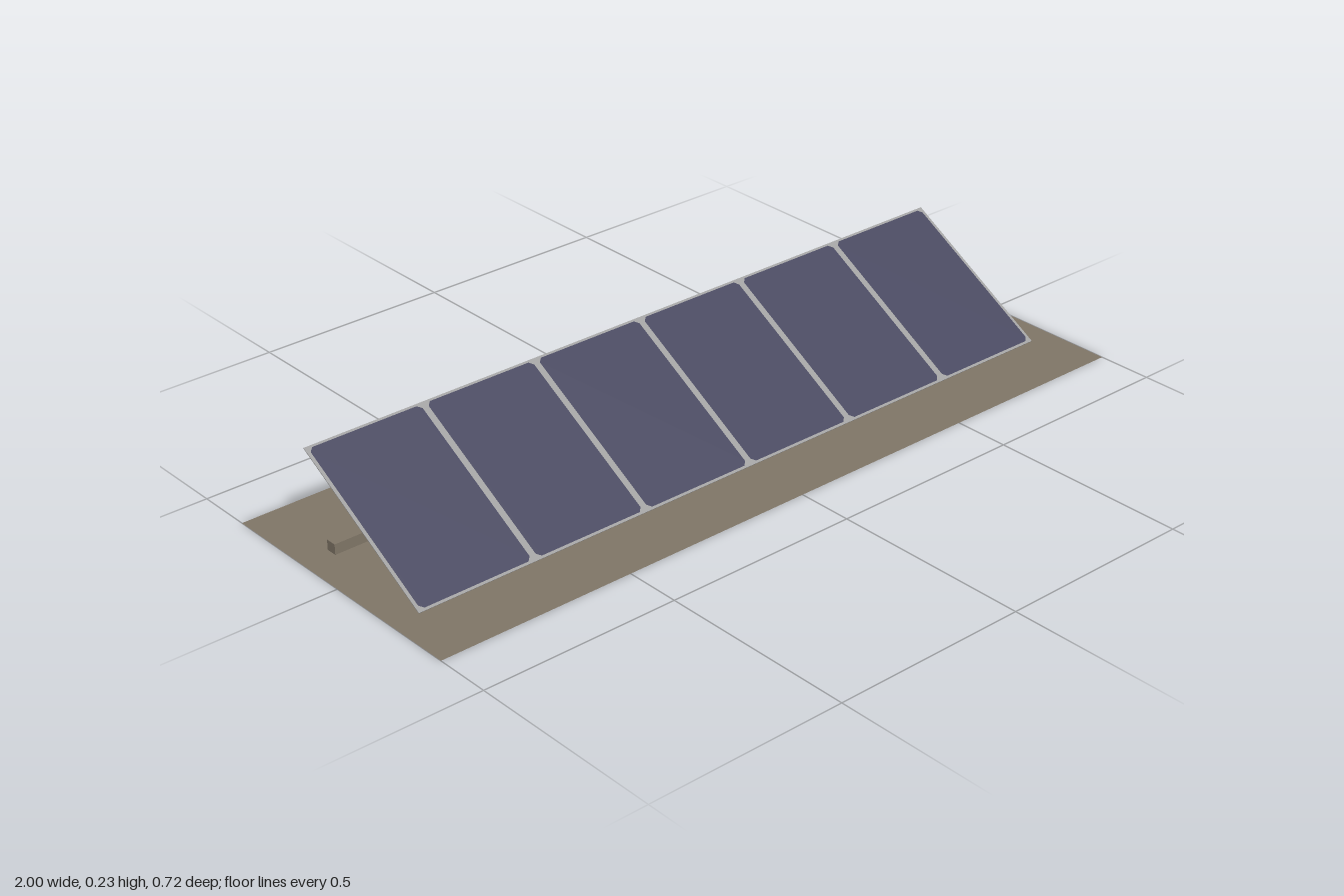
import * as THREE from 'three';

export function createModel() {
  const model = new THREE.Group();
  model.name = 'solarArray';

  const material = (name, color, side = THREE.FrontSide) => {
    const m = new THREE.MeshStandardMaterial({ color, side });
    m.name = name;
    return m;
  };
  const earth = material('earth brown', 0x807667, THREE.DoubleSide);
  const navy = material('cell navy', 0x48485f);
  const grey = material('frame grey', 0xa0a0a0);

  const add = (parent, name, geometry, mat, x = 0, y = 0, z = 0) => {
    const mesh = new THREE.Mesh(geometry, mat);
    mesh.name = name;
    mesh.position.set(x, y, z);
    parent.add(mesh);
    return mesh;
  };

  // Flat ground sheet
  add(model, 'ground', new THREE.PlaneGeometry(2, 0.72).rotateX(-Math.PI / 2), earth);

  // Low beam joining the feet of the posts
  const supports = new THREE.Group();
  supports.name = 'supports';
  model.add(supports);
  add(supports, 'beam', new THREE.BoxGeometry(1.85, 0.026, 0.028), earth, 0, 0.014, -0.1285);

  // Posts with bevelled tops; the profile is drawn in (-z, y) and extruded along x
  const postWidth = 0.03;
  const profile = new THREE.Shape([
    [0.114, 0.001], [0.143, 0.001], [0.143, 0.17], [0.14, 0.198], [0.12, 0.186], [0.114, 0.168],
  ].map(([z, y]) => new THREE.Vector2(z, y)));
  const postGeometry = new THREE.ExtrudeGeometry(profile, { depth: postWidth, bevelEnabled: false })
    .translate(0, 0, -postWidth / 2)
    .rotateY(Math.PI / 2);
  for (let i = 0; i < 6; i++) {
    add(supports, 'post', postGeometry, earth, 0.765 - i * 0.268, 0, 0);
  }

  // Tilted panel: thin grey frame with a row of cells on both faces
  const length = 1.86, height = 0.452, count = 6, pitch = length / count;
  const panel = new THREE.Group();
  panel.name = 'panel';
  panel.position.set(-0.003, 0.1185, 0);
  panel.rotation.x = -Math.PI / 2 + Math.PI / 6;
  model.add(panel);
  add(panel, 'frame', new THREE.BoxGeometry(length, height, 0.002), grey);

  // Cell outline with clipped corners
  const w = (pitch - 0.016) / 2, h = (height - 0.012) / 2, c = 0.01;
  const outline = new THREE.Shape([
    [-w + c, -h], [w - c, -h], [w, -h + c], [w, h - c],
    [w - c, h], [-w + c, h], [-w, h - c], [-w, -h + c],
  ].map(([x, y]) => new THREE.Vector2(x, y)));
  const cellGeometry = new THREE.ShapeGeometry(outline);
  for (let i = 0; i < count; i++) {
    const x = (i - (count - 1) / 2) * pitch;
    add(panel, 'cellFront', cellGeometry, navy, x, 0, 0.0017);
    add(panel, 'cellBack', cellGeometry, navy, x, 0, -0.0017).rotation.y = Math.PI;
  }

  return model;
}
